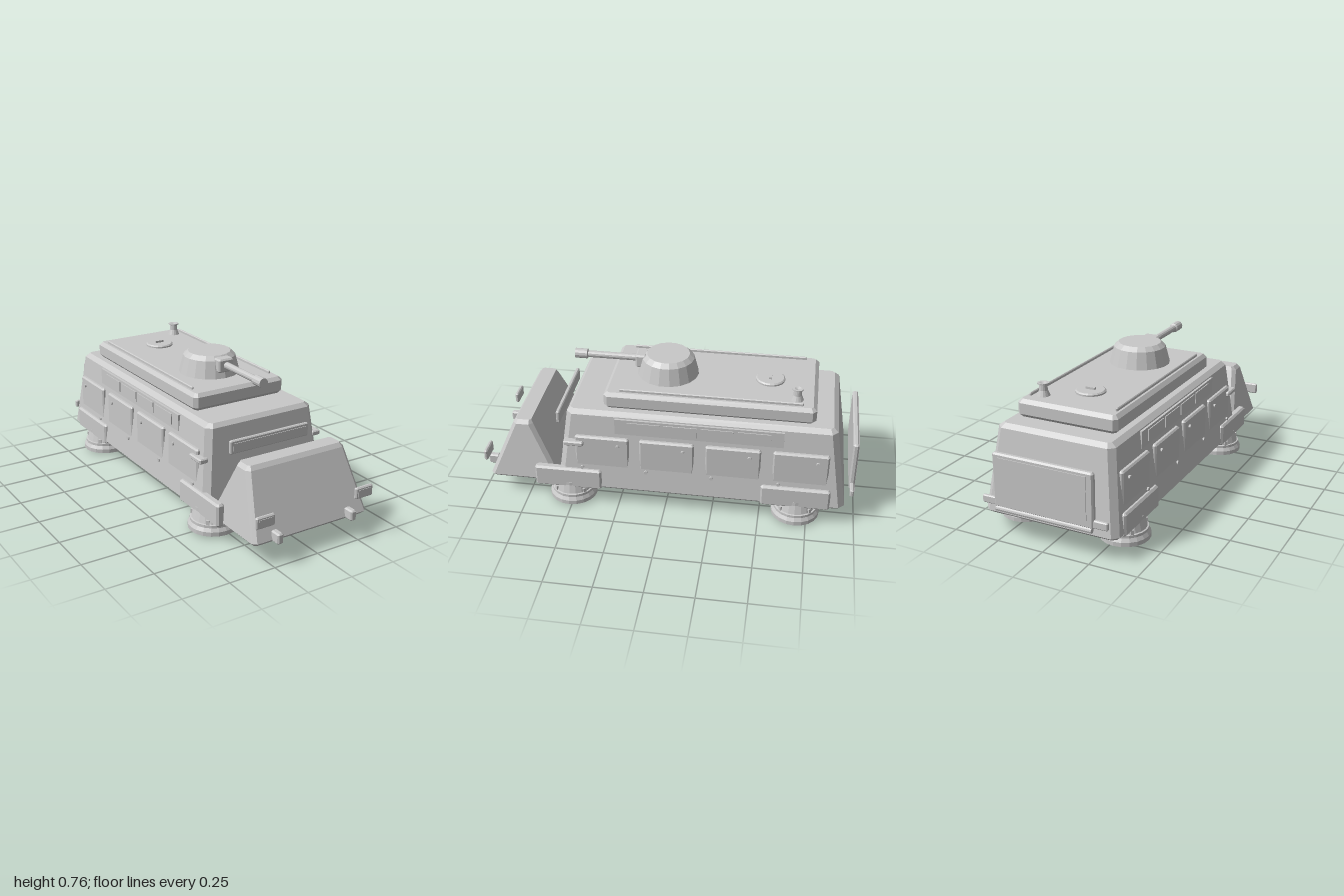
import * as THREE from 'three';

const grey = new THREE.MeshStandardMaterial({ color: 0xc8c8c8, flatShading: true });
grey.name = 'plain grey';

// Stack of chamfered rectangles [y, halfWidth, zBack, zFront, cornerCut], closed at both ends
function loft(sections) {
  const rings = sections.map(([y, h, b, f, c]) => [
    [h, y, f - c], [h, y, b + c], [h - c, y, b], [c - h, y, b],
    [-h, y, b + c], [-h, y, f - c], [c - h, y, f], [h - c, y, f],
  ]);
  const pos = [];
  const tri = (...pts) => pts.forEach((p) => pos.push(...p));
  for (let s = 0; s < rings.length - 1; s++) {
    for (let i = 0; i < 8; i++) {
      const j = (i + 1) % 8, lo = rings[s], hi = rings[s + 1];
      tri(lo[i], lo[j], hi[j]);
      tri(lo[i], hi[j], hi[i]);
    }
  }
  const bottom = rings[0], top = rings[rings.length - 1];
  for (let i = 1; i < 7; i++) {
    tri(top[0], top[i], top[i + 1]);
    tri(bottom[0], bottom[i + 1], bottom[i]);
  }
  const geo = new THREE.BufferGeometry();
  geo.setAttribute('position', new THREE.Float32BufferAttribute(pos, 3));
  geo.computeVertexNormals();
  return geo;
}

// Box with all edges chamfered by c
function block(w, h, d, c) {
  const x = w / 2, y = h / 2, z = d / 2;
  return loft([
    [-y, x - c, c - z, z - c, c / 2], [c - y, x, -z, z, c],
    [y - c, x, -z, z, c], [y, x - c, c - z, z - c, c / 2],
  ]);
}

function add(parent, name, geo, x = 0, y = 0, z = 0) {
  const mesh = new THREE.Mesh(geo, grey);
  mesh.name = name;
  mesh.position.set(x, y, z);
  parent.add(mesh);
  return mesh;
}

const box = (w, h, d) => new THREE.BoxGeometry(w, h, d);
const lathe = (pts, n) => new THREE.LatheGeometry(pts.map((p) => new THREE.Vector2(...p)), n);

export function createModel() {
  const model = new THREE.Group();
  model.name = 'armouredCarrier';

  // Body
  add(model, 'hull', loft([
    [0.10, 0.345, -0.915, 0.555, 0.02], [0.12, 0.365, -0.94, 0.575, 0.03],
    [0.535, 0.316, -0.875, 0.52, 0.03], [0.555, 0.29, -0.85, 0.50, 0.015],
  ]));
  add(model, 'nose', loft([
    [0.10, 0.32, 0.565, 0.935, 0.01], [0.12, 0.34, 0.57, 0.955, 0.02],
    [0.425, 0.29, 0.715, 0.822, 0.02], [0.445, 0.272, 0.725, 0.805, 0.01],
  ]));
  add(model, 'roofBlock', loft([
    [0.55, 0.25, -0.74, 0.31, 0.01], [0.572, 0.272, -0.76, 0.33, 0.02],
    [0.627, 0.272, -0.76, 0.33, 0.02], [0.645, 0.254, -0.74, 0.312, 0.01],
  ]));

  // Turret and gun
  const turret = new THREE.Group();
  turret.name = 'turret';
  turret.position.set(0, 0.64, 0.03);
  model.add(turret);
  add(turret, 'turretDome', lathe([[0, 0], [0.163, 0], [0.138, 0.095], [0.113, 0.117], [0, 0.117]], 18));
  add(turret, 'gunMantlet', block(0.09, 0.072, 0.06, 0.008), 0, 0.075, 0.14);
  const barrel = lathe([[0, 0], [0.018, 0], [0.018, 0.27], [0.026, 0.275], [0.026, 0.34], [0, 0.34]], 12);
  add(turret, 'gunBarrel', barrel.rotateX(Math.PI / 2), 0, 0.077, 0.16);

  // Roof fittings
  add(model, 'roofHatch', lathe([[0, 0], [0.077, 0], [0.077, 0.01], [0.07, 0.016], [0, 0.016]], 20), 0, 0.643, -0.51);
  add(model, 'hatchHandle', box(0.05, 0.012, 0.014), 0, 0.664, -0.51);
  add(model, 'exhaustStack', lathe([
    [0, 0], [0.034, 0], [0.022, 0.03], [0.02, 0.058], [0.029, 0.062], [0.029, 0.068], [0.018, 0.068], [0, 0.06],
  ], 14), 0.18, 0.643, -0.656);

  // Front vision slit and rear ramp
  add(model, 'visionPlate', block(0.47, 0.07, 0.02, 0.005), 0, 0.45, 0.588);
  add(model, 'visionSlit', box(0.435, 0.04, 0.006), 0, 0.45, 0.599);
  add(model, 'rearRamp', block(0.54, 0.28, 0.03, 0.008), 0, 0.315, -0.972);
  add(model, 'rampInset', box(0.47, 0.22, 0.008), 0, 0.325, -0.987);
  const hinge = new THREE.CylinderGeometry(0.014, 0.014, 0.52, 10).rotateZ(Math.PI / 2);
  add(model, 'rampHinge', hinge, 0, 0.167, -0.98);

  for (const s of [1, -1]) {
    add(model, 'roofRail', block(0.012, 0.02, 0.94, 0.004), s * 0.236, 0.65, -0.22);
    add(model, 'headlight', block(0.106, 0.06, 0.02, 0.006), s * 0.292, 0.24, 0.97);
    add(model, 'headlightLens', box(0.076, 0.036, 0.006), s * 0.292, 0.24, 0.98);
    add(model, 'towHook', block(0.034, 0.055, 0.06, 0.007), s * 0.218, 0.138, 0.968);
    add(model, 'mirrorBracket', block(0.052, 0.027, 0.105, 0.006), s * 0.342, 0.38, 0.478);
    add(model, 'rampBracket', block(0.08, 0.04, 0.02, 0.005), s * 0.3, 0.2, -0.972);

    // Side armour doors with bolts
    for (const z of [0.33, -0.01, -0.355, -0.702]) {
      add(model, 'sideDoor', block(0.06, 0.2, 0.285, 0.008), s * 0.32, 0.32, z);
      for (const [y, dz] of [[0.375, -0.085], [0.23, 0.108]]) {
        const bolt = new THREE.CylinderGeometry(0.01, 0.01, 0.016, 8).rotateZ(Math.PI / 2);
        add(model, 'doorBolt', bolt, s * 0.352, y, z + dz);
      }
    }

    // Side window strip
    add(model, 'windowStrip', box(0.04, 0.088, 0.87), s * 0.309, 0.485, -0.173);
    for (let i = 0; i < 4; i++) {
      add(model, 'sideWindow', box(0.008, 0.058, 0.17), s * 0.33, 0.487, 0.112 - i * 0.19);
    }

    // Fenders and hover pads
    for (const [fenderZ, padZ] of [[0.515, 0.51], [-0.685, -0.69]]) {
      add(model, 'fender', block(0.045, 0.12, 0.36, 0.01), s * 0.35, 0.16, fenderZ);
      const pad = new THREE.Group();
      pad.name = 'hoverPad';
      pad.position.set(s * 0.28, 0, padZ);
      model.add(pad);
      add(pad, 'padBody', lathe([
        [0, 0], [0.087, 0], [0.087, 0.012], [0.127, 0.012], [0.127, 0.034],
        [0.116, 0.052], [0.116, 0.066], [0.108, 0.068], [0.095, 0.115], [0.095, 0.135], [0, 0.135],
      ], 20));
      for (let i = 0; i < 4; i++) {
        const a = Math.PI / 4 + (i * Math.PI) / 2;
        const stud = add(pad, 'padStud', box(0.016, 0.024, 0.016), Math.sin(a) * 0.104, 0.078, Math.cos(a) * 0.104);
        stud.rotation.y = a;
      }
    }
  }
  return model;
}
